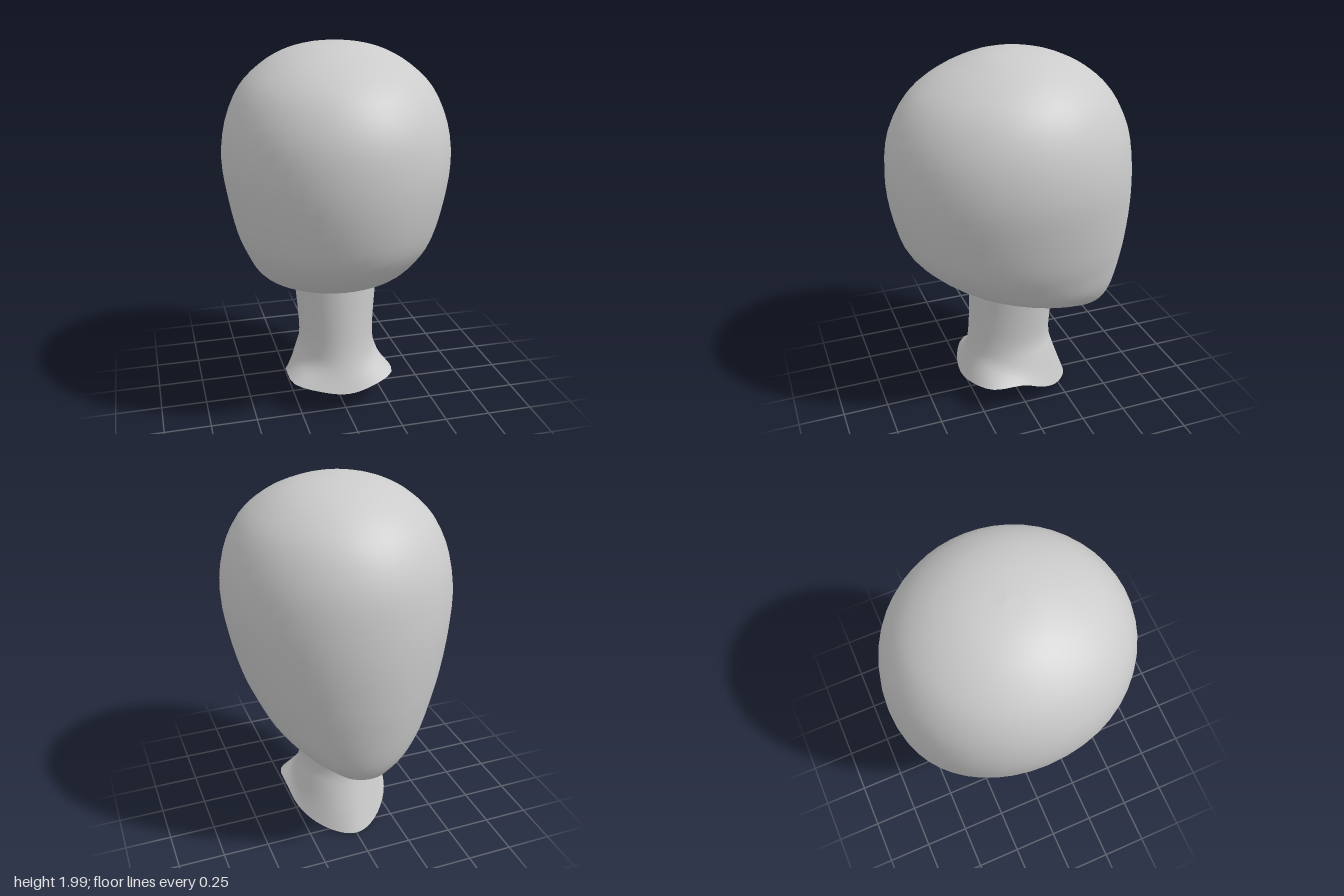
import * as THREE from 'three';

const material = new THREE.MeshStandardMaterial({ color: 0xcccccc, side: THREE.DoubleSide });

// Skin closed rings of points, listed from bottom to top, each running from +z towards +x
function loft(rings) {
  const n = rings[0].length;
  const positions = rings.flat().flatMap((p) => [p.x, p.y, p.z]);
  const index = [];
  for (let r = 0; r < rings.length - 1; r++) {
    for (let c = 0; c < n; c++) {
      const a = r * n + c, b = r * n + ((c + 1) % n);
      index.push(a, b, b + n, a, b + n, a + n);
    }
  }
  const geometry = new THREE.BufferGeometry();
  geometry.setAttribute('position', new THREE.Float32BufferAttribute(positions, 3));
  geometry.setIndex(index);
  geometry.computeVertexNormals();
  return geometry;
}

// Oval ring with half width w, spanning z0 to z1 at height y
function oval(y, w, z0, z1, n) {
  return Array.from({ length: n }, (_, i) => {
    const a = (i / n) * Math.PI * 2;
    return new THREE.Vector3(w * Math.sin(a), y, (z0 + z1) / 2 + ((z1 - z0) / 2) * Math.cos(a));
  });
}

const smooth = (points, closed = false) => new THREE.CatmullRomCurve3(points, closed, 'catmullrom', 0.5);

// Head: [height, half width, z at the face, z at the back of the skull]
function headGeometry() {
  const rows = [
    [0.49, 0, -0.44, -0.44], [0.51, 0.12, -0.51, -0.3], [0.55, 0.19, -0.545, -0.18],
    [0.6, 0.26, -0.57, -0.09], [0.66, 0.34, -0.59, 0.12], [0.75, 0.42, -0.61, 0.33],
    [0.87, 0.48, -0.63, 0.49], [1.0, 0.53, -0.645, 0.59], [1.2, 0.575, -0.655, 0.645],
    [1.4, 0.6, -0.645, 0.66], [1.6, 0.575, -0.61, 0.63], [1.77, 0.5, -0.525, 0.535],
    [1.88, 0.39, -0.41, 0.4], [1.95, 0.27, -0.28, 0.25], [1.987, 0.14, -0.15, 0.13],
    [2.0, 0, 0, 0],
  ];
  const widths = smooth(rows.map(([y, w]) => new THREE.Vector3(w, y, 0)));
  const depths = smooth(rows.map(([y, , z0, z1]) => new THREE.Vector3(z0, y, z1)));
  const steps = (rows.length - 1) * 3;
  const rings = [];
  for (let i = 0; i <= steps; i++) {
    const w = widths.getPoint(i / steps), d = depths.getPoint(i / steps);
    rings.push(oval(w.y, Math.max(w.x, 0), d.x, d.z, 48));
  }
  return loft(rings);
}

// Lower edge of the neck: half outline from +z to -z, mirrored across x
function neckRim() {
  const half = [
    [0, 0.13, 0.31], [0.15, 0.15, 0.285], [0.28, 0.17, 0.2], [0.293, 0.165, 0.03],
    [0.27, 0.105, -0.1], [0.2, 0.05, -0.21], [0.1, 0.02, -0.3], [0, 0.01, -0.335],
  ];
  const mirrored = half.slice(1, -1).reverse().map(([x, y, z]) => [-x, y, z]);
  const curve = smooth([...half, ...mirrored].map((p) => new THREE.Vector3(...p)), true);
  return curve.getPoints(42).slice(0, 42);
}

// Neck: the flared rim blends up into oval rings that end inside the head
function neckGeometry(rim) {
  const n = rim.length;
  const ovals = [
    oval(0.26, 0.235, -0.245, 0.27, n), oval(0.36, 0.207, -0.225, 0.25, n),
    oval(0.5, 0.21, -0.23, 0.24, n), oval(0.72, 0.23, -0.24, 0.23, n),
  ];
  const columns = rim.map((p, i) => smooth([p, ...ovals.map((ring) => ring[i])]).getPoints(16));
  return loft(columns[0].map((_, r) => columns.map((column) => column[r])));
}

export function createModel() {
  const model = new THREE.Group();
  const add = (name, geometry) => {
    const mesh = new THREE.Mesh(geometry, material);
    mesh.name = name;
    model.add(mesh);
  };
  const rim = neckRim();
  add('head', headGeometry());
  add('neck', neckGeometry(rim));
  // Underside of the neck, closing the rim to a centre point
  add('neckBase', loft([rim.map(() => new THREE.Vector3(0, 0.105, 0)), rim]));
  return model;
}
